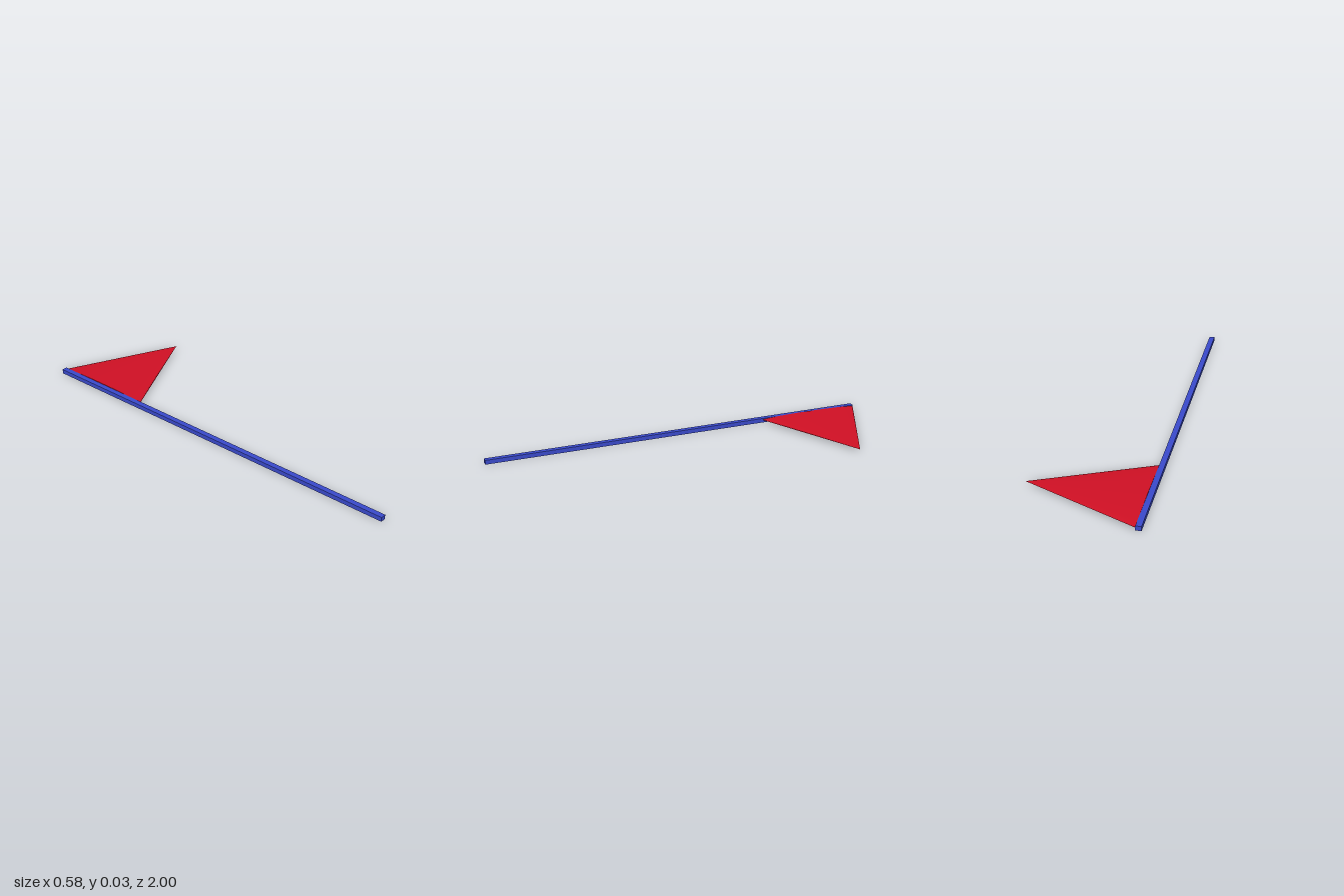
import * as THREE from 'three';

export function createModel() {
  const model = new THREE.Group();

  // Square pole lying along z
  const pole = new THREE.Mesh(
    new THREE.BoxGeometry(0.027, 0.022, 2),
    new THREE.MeshStandardMaterial({ color: 0x3a4acb })
  );
  pole.name = 'pole';
  pole.position.set(-0.2755, 0.011, 0);
  model.add(pole);

  // Pennant: a cone flattened in y, its point towards +x
  const radius = 0.267, length = 0.55, thickness = 0.0225;
  const cone = new THREE.ConeGeometry(radius, length, 32);
  cone.rotateZ(-Math.PI / 2);
  cone.scale(1, thickness / (2 * radius), 1);
  const pennant = new THREE.Mesh(cone, new THREE.MeshStandardMaterial({ color: 0xd01024 }));
  pennant.name = 'pennant';
  pennant.position.set(-0.262 + length / 2, 0.0138, -0.733);
  model.add(pennant);

  return model;
}
